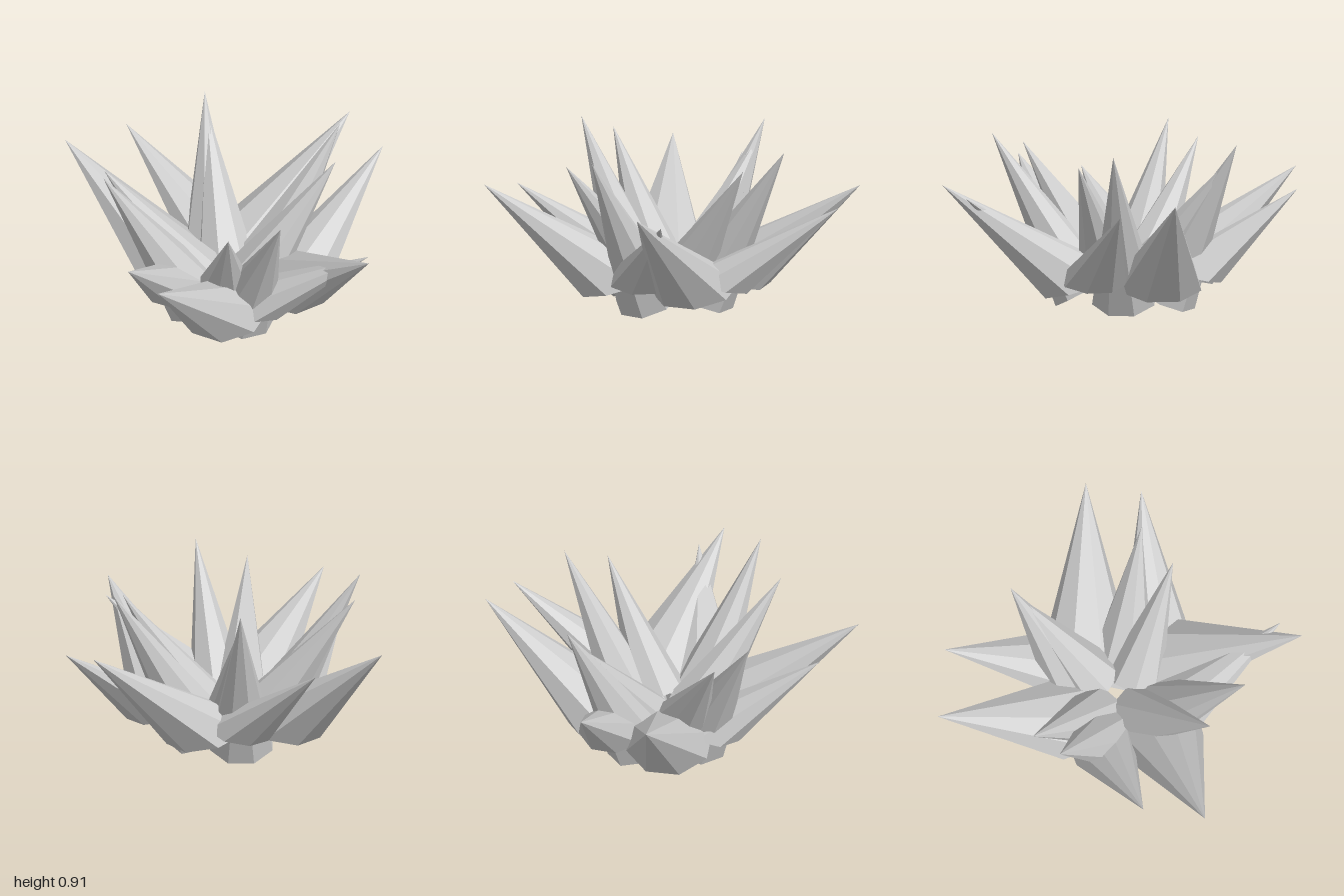
import * as THREE from 'three';

// Each leaf: [base centre, tip]
const outerLong = [
  [[0.27, 0.17, -0.09], [0.99, 0.70, 0.08]],
  [[0.13, 0.17, 0.28], [-0.12, 0.70, 0.99]],
  [[-0.27, 0.17, 0.17], [-1.0, 0.70, 0.24]],
  [[-0.08, 0.17, -0.28], [-0.10, 0.70, -1.0]],
];
const outerShort = [
  [[0.26, 0.205, 0.28], [0.90, 0.64, 0.36]],
  [[-0.17, 0.205, 0.27], [0.0, 0.64, 0.90]],
  [[-0.27, 0.205, -0.15], [-0.85, 0.64, -0.06]],
  [[0.23, 0.205, -0.27], [0.28, 0.64, -0.87]],
];
const innerTall = [
  [[0.15, 0.09, 0.06], [0.605, 0.92, 0.29]],
  [[-0.13, 0.09, 0.18], [-0.395, 0.92, 0.61]],
  [[-0.19, 0.09, -0.08], [-0.54, 0.92, -0.44]],
  [[0.11, 0.09, -0.18], [0.435, 0.92, -0.47]],
];
const innerShort = [
  [[0.06, 0.19, 0.12], [0.395, 0.84, 0.41]],
  [[-0.16, 0.19, 0.08], [-0.55, 0.84, 0.38]],
  [[-0.11, 0.19, -0.14], [-0.38, 0.84, -0.55]],
  [[0.10, 0.19, -0.10], [0.41, 0.84, -0.44]],
];

export function createModel() {
  const plant = new THREE.Group();
  plant.name = 'spikyPlant';
  const material = new THREE.MeshStandardMaterial({ color: 0xcccccc, flatShading: true });

  // Eight-sided spike leaning from its base disc to its tip;
  // tilt is how far the outer edge of the disc dips
  function addLeaf(parent, name, [base, tip], radius, tilt) {
    const axis = new THREE.Vector3(...tip).sub(new THREE.Vector3(...base));
    const out = new THREE.Vector3(axis.x, 0, axis.z).normalize();
    const up = new THREE.Vector3(0, 1, 0);
    const side = up.clone().cross(out).multiplyScalar(radius);
    const dip = out.multiplyScalar(Math.cos(tilt)).addScaledVector(up, -Math.sin(tilt)).multiplyScalar(radius);
    const geometry = new THREE.ConeGeometry(1, 1, 8, 1, false, Math.PI / 8);
    geometry.translate(0, 0.5, 0);
    geometry.applyMatrix4(new THREE.Matrix4().makeBasis(side, axis, dip));
    const leaf = new THREE.Mesh(geometry, material);
    leaf.name = name;
    leaf.position.set(...base);
    parent.add(leaf);
  }

  // Four rings of four leaves: name, leaves, base radius, base tilt
  const rings = [
    ['outerLongLeaf', outerLong, 0.235, 0.3],
    ['outerShortLeaf', outerShort, 0.18, 0.25],
    ['innerTallLeaf', innerTall, 0.18, 0.5],
    ['innerShortLeaf', innerShort, 0.155, 0.55],
  ];
  for (const [name, leaves, radius, tilt] of rings) {
    const ring = new THREE.Group();
    ring.name = name + 'Ring';
    leaves.forEach((leaf, i) => addLeaf(ring, name + (i + 1), leaf, radius, tilt));
    plant.add(ring);
  }
  return plant;
}
